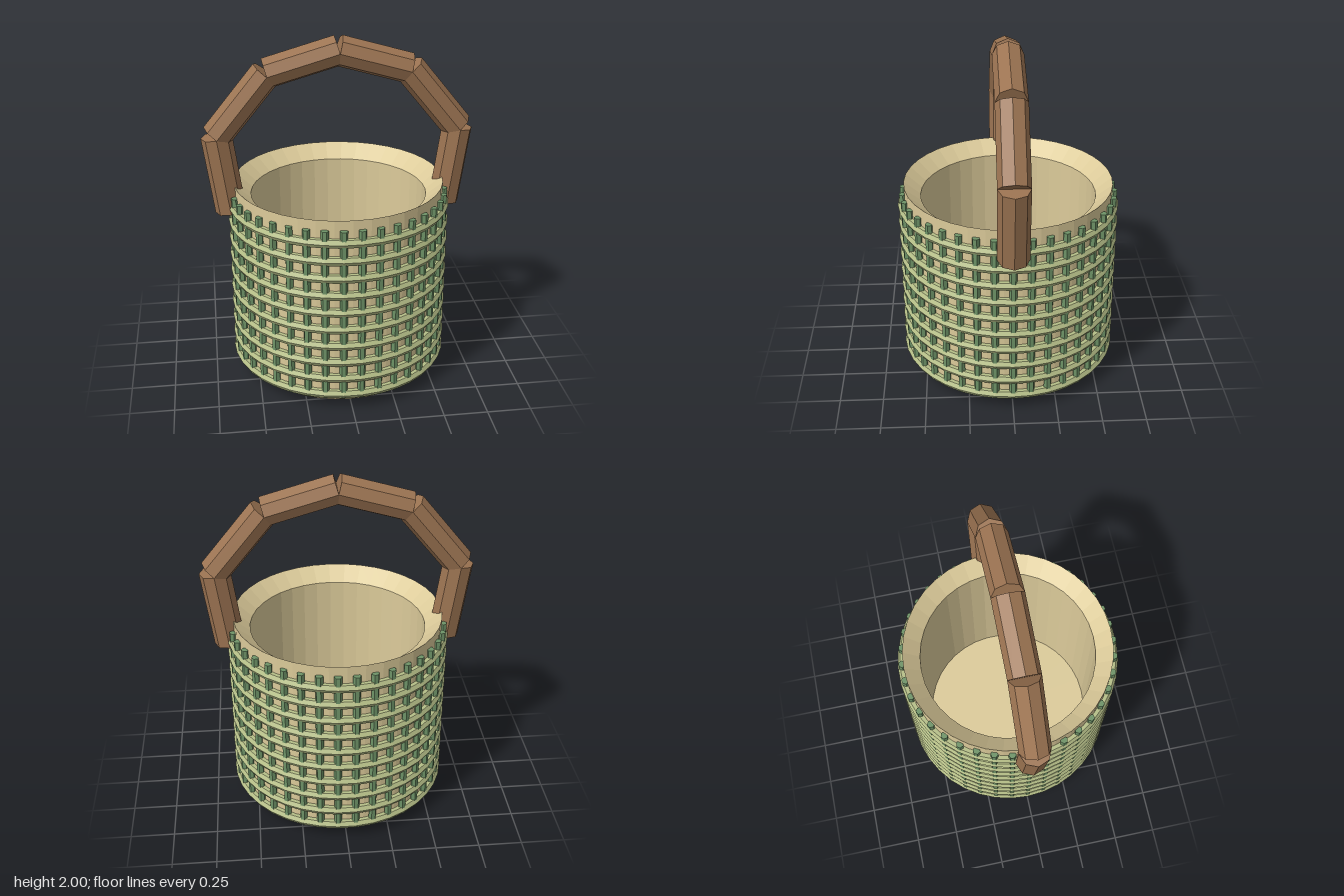
import * as THREE from 'three';

const mat = (color) => new THREE.MeshStandardMaterial({ color, flatShading: true });

export function createModel() {
  const basket = new THREE.Group();
  basket.name = 'basket';
  const clay = mat(0xdccb9a);
  const cane = mat(0xb6bf88);
  const reed = mat(0x6f9468);
  const wood = mat(0x9c7452);

  const add = (parent, name, geometry, material) => {
    const mesh = new THREE.Mesh(geometry, material);
    mesh.name = name;
    parent.add(mesh);
    return mesh;
  };
  const group = (name) => {
    const g = new THREE.Group();
    g.name = name;
    basket.add(g);
    return g;
  };

  // Hollow tub: bevelled foot, straight wall, rim sloping inwards, floor
  const profile = [
    [0, 0], [0.36, 0.003], [0.54, 0.012], [0.6, 0.075], [0.6, 1.165],
    [0.505, 1.085], [0.505, 0.08], [0, 0.08],
  ].map(([r, y]) => new THREE.Vector2(r, y));
  add(basket, 'tub', new THREE.LatheGeometry(profile, 38), clay);

  // Horizontal woven hoops
  const hoops = group('hoops');
  const hoopGeometry = new THREE.TorusGeometry(0.61, 0.027, 6, 38).rotateX(Math.PI / 2);
  for (let i = 0; i < 10; i++) {
    add(hoops, 'hoop', hoopGeometry, cane).position.y = 0.1 + i * 0.1043;
  }

  // Upright stakes around the wall
  const stakes = group('stakes');
  const stakeCount = 38;
  const stakeGeometry = new THREE.CylinderGeometry(0.022, 0.022, 1.03, 6);
  for (let i = 0; i < stakeCount; i++) {
    const a = (i / stakeCount) * Math.PI * 2;
    const stake = add(stakes, 'stake', stakeGeometry, reed);
    stake.position.set(Math.cos(a) * 0.608, 0.595, Math.sin(a) * 0.608);
    stake.rotation.y = -a;
  }

  // Arched handle of straight octagonal lengths, mirrored left and right
  const handle = group('handle');
  const joints = [[0, 1.915], [0.4, 1.8], [0.685, 1.45], [0.623, 1.0]];
  const up = new THREE.Vector3(0, 1, 0);
  for (const side of [1, -1]) {
    const points = joints.map(([x, y]) => new THREE.Vector3(x * side, y, 0));
    for (let i = 0; i < points.length - 1; i++) {
      const along = points[i + 1].clone().sub(points[i]);
      const length = along.length();
      const bar = add(handle, 'handleBar', new THREE.CylinderGeometry(0.088, 0.088, length, 8), wood);
      bar.position.copy(points[i]).addScaledVector(along, 0.5);
      bar.quaternion.setFromUnitVectors(up, along.negate().normalize());
    }
  }

  return basket;
}
